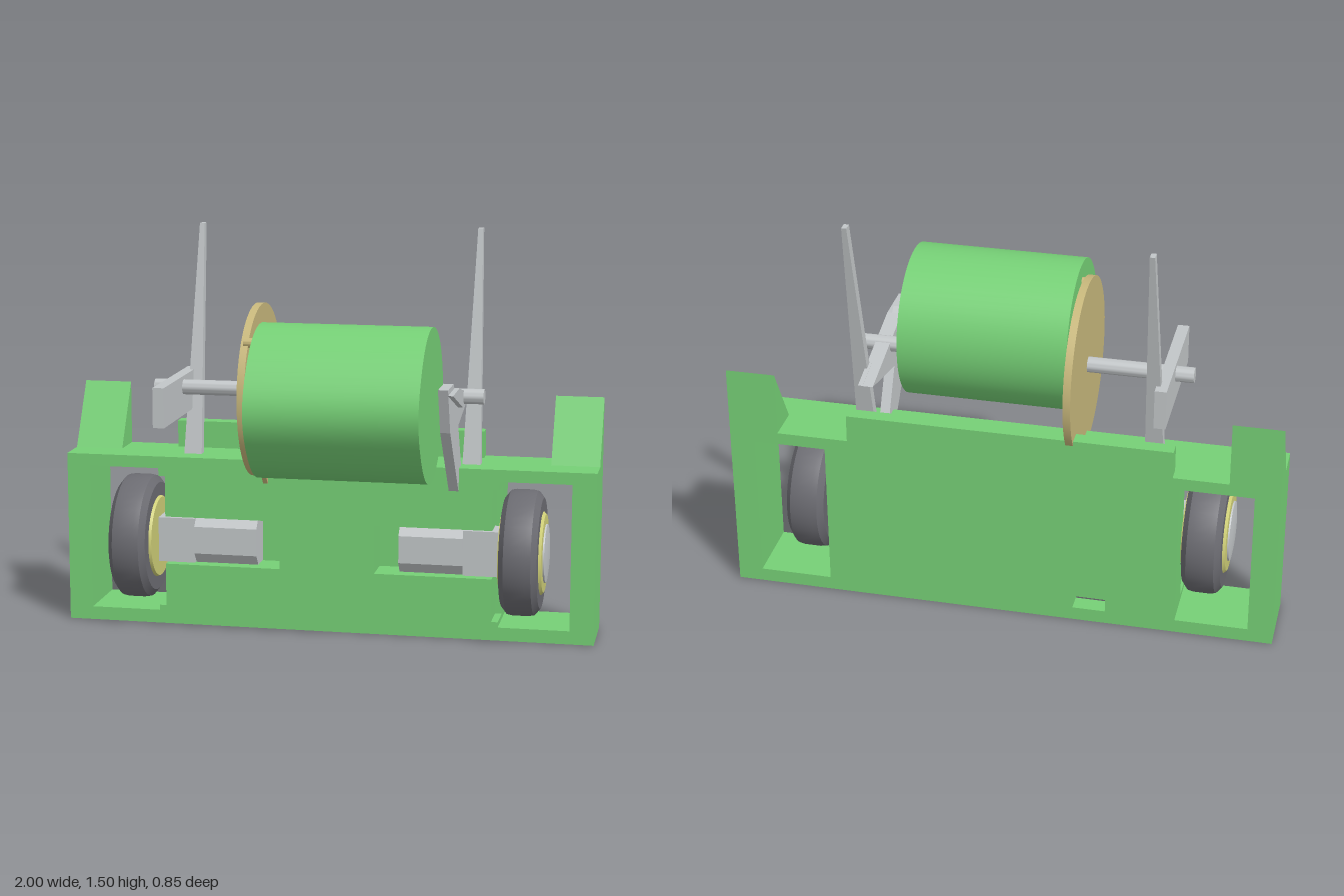
import * as THREE from 'three';
import { toCreasedNormals } from 'three/addons/utils/BufferGeometryUtils.js';

const paint = (name, color) => {
  const m = new THREE.MeshStandardMaterial({ color });
  m.name = name;
  return m;
};

export function createModel() {
  const root = new THREE.Group();
  const green = paint('body green', 0x76d076);
  const tan = paint('tan', 0xc8b87c);
  const steel = paint('light grey', 0xc2c6c8);
  const rubber = paint('tyre grey', 0x6c6c72);
  const yellow = paint('rim yellow', 0xcfcf78);

  const add = (name, geo, mat, parent = root) => {
    const m = new THREE.Mesh(geo, mat);
    m.name = name;
    parent.add(m);
    return m;
  };
  const path = (pts, Type = THREE.Shape) => new Type(pts.map(p => new THREE.Vector2(p[0], p[1])));
  // side profile given as [z, y], extruded from x0 to x1
  const extrudeX = (pts, x0, x1) => {
    const g = new THREE.ExtrudeGeometry(path(pts.map(([z, y]) => [-z, y])), { depth: x1 - x0, bevelEnabled: false });
    return g.rotateY(Math.PI / 2).translate(x0, 0, 0);
  };
  const box = (x0, x1, y0, y1, z0, z1) => new THREE.BoxGeometry(x1 - x0, y1 - y0, z1 - z0)
    .translate((x0 + x1) / 2, (y0 + y1) / 2, (z0 + z1) / 2);
  const rodX = (r, x0, x1, y, z, seg = 24) => toCreasedNormals(
    new THREE.CylinderGeometry(r, r, x1 - x0, seg).rotateZ(Math.PI / 2).translate((x0 + x1) / 2, y, z), 0.6);

  // chassis: front slab with wheel openings and motor pockets, back slab with openings only
  const rect = (x0, x1, y0, y1) => [[x0, y0], [x1, y0], [x1, y1], [x0, y1]];
  const slab = (name, holes, z0, z1) => {
    const s = path(rect(-1, 1, 0, 0.645));
    holes.forEach(h => s.holes.push(path(h, THREE.Path)));
    add(name, new THREE.ExtrudeGeometry(s, { depth: z1 - z0, bevelEnabled: false }).translate(0, 0, z0), green);
  };
  const pocket = [[0.91, 0.05], [0.91, 0.6], [0.645, 0.6], [0.645, 0.57], [0.62, 0.57], [0.62, 0.415],
    [0.18, 0.415], [0.18, 0.232], [0.62, 0.232], [0.62, 0.07], [0.645, 0.07], [0.645, 0.05]];
  const flip = pts => pts.map(([x, y]) => [-x, y]);
  const opening = rect(0.645, 0.91, 0.05, 0.6);
  slab('chassisFront', [pocket, flip(pocket)], -0.23, -0.105);
  slab('chassisBack', [opening, flip(opening), rect(-0.39, -0.27, 0.05, 0.1)], -0.365, -0.23);
  add('slotPlate', box(-0.39, -0.27, 0.05, 0.1, -0.3, -0.231), rubber);
  add('rearRidge', box(-0.62, 0.56, 0.64, 0.747, -0.365, -0.31), green);

  // mirrored parts: horns, wheels, motors, posts
  for (const s of [1, -1]) {
    const span = (a, b) => (s > 0 ? [a, b] : [-b, -a]);
    add('horn', extrudeX([[-0.365, 0.64], [-0.225, 0.64], [-0.365, 0.882]], ...span(0.82, 1)), green);

    const wheel = new THREE.Group();
    wheel.name = 'wheel';
    wheel.position.set(s * 0.73, 0.327, -0.16);
    wheel.rotation.z = -s * Math.PI / 2;
    root.add(wheel);
    const lathe = (name, pts, mat) => add(name, toCreasedNormals(
      new THREE.LatheGeometry(pts.map(p => new THREE.Vector2(...p)), 40), 0.5), mat, wheel);
    lathe('tyre', [[0.15, -0.07], [0.205, -0.07], [0.23, -0.05], [0.234, -0.03], [0.234, 0.03],
      [0.23, 0.05], [0.205, 0.07], [0.15, 0.07]], rubber);
    lathe('rim', [[0, -0.08], [0.15, -0.08], [0.155, -0.07], [0.155, 0.07], [0.145, 0.08], [0, 0.085]], yellow);
    lathe('hubCap', [[0.11, 0.078], [0.108, 0.087], [0.07, 0.092], [0, 0.094]], steel);

    add('motor', extrudeX([[-0.225, 0.235], [-0.145, 0.235], [-0.113, 0.275], [-0.113, 0.378],
      [-0.145, 0.412], [-0.225, 0.412]], ...span(0.27, 0.51)), steel);
    add('gearbox', box(...span(0.51, 0.65), 0.238, 0.408, -0.225, -0.118), steel);

    // tapered post leaning backwards
    const post = new THREE.BoxGeometry(1, 1, 0.034);
    const p = post.attributes.position;
    for (let i = 0; i < p.count; i++) {
      const t = p.getY(i) + 0.5;
      p.setXYZ(i, s * 0.53 + p.getX(i) * (0.068 - 0.05 * t), 0.64 + 0.86 * t, p.getZ(i) - 0.2 - 0.178 * t);
    }
    post.computeVertexNormals();
    add('post', post, steel);
  }

  // drum with a soft bulge on its front
  const drum = [];
  for (let i = 0; i < 64; i++) {
    const a = (i / 64) * Math.PI * 2 - Math.PI;
    const r = 0.28 + 0.025 * Math.exp(-((a / 0.42) ** 2));
    drum.push([0.123 + r * Math.cos(a), 0.915 + r * Math.sin(a)]);
  }
  add('drum', toCreasedNormals(extrudeX(drum, -0.195, 0.425), 0.6), green);

  // crank disc, pin, shaft and side bar
  add('crankDisc', rodX(0.32, -0.265, -0.238, 0.915, -0.105, 64), tan);
  add('crankPin', rodX(0.018, -0.255, -0.19, 1.122, 0.13), tan);
  add('shaft', rodX(0.028, -0.648, 0.585, 0.915, -0.1), steel);
  add('sideBar', box(-0.582, -0.54, 0.81, 0.957, -0.32, 0.19), steel);

  // hooked arms on either side of the drum
  add('innerArm', extrudeX([[0.2, 0.94], [-0.1, 0.95], [-0.14, 0.8], [-0.14, 0.65], [-0.1, 0.56],
    [0.135, 0.82]], -0.24, -0.222), tan);
  add('hookArm', extrudeX([[0.2, 0.985], [0.06, 0.985], [0.04, 0.967], [-0.36, 0.875], [-0.075, 0.81],
    [-0.16, 0.65], [-0.1, 0.56], [0.135, 0.82]], 0.458, 0.494), steel);
  add('armSpike', extrudeX([[0.2, 0.965], [0.04, 0.966], [-0.36, 0.876], [-0.06, 0.88]], 0.494, 0.512), steel);

  return root;
}
